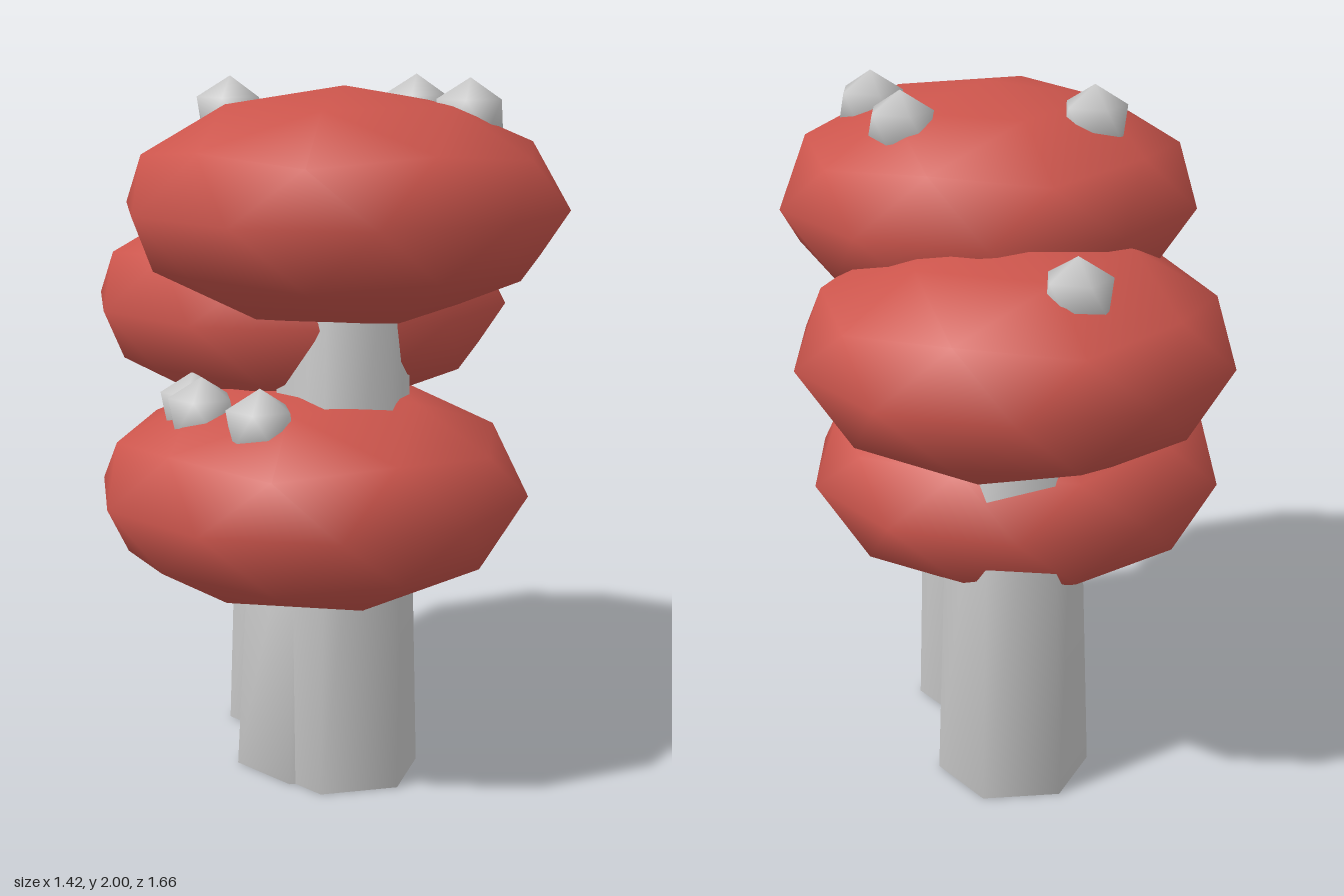
import * as THREE from 'three';
import { mergeVertices } from 'three/addons/utils/BufferGeometryUtils.js';

const grey = new THREE.MeshStandardMaterial({ color: 0xcccccc });
const red = new THREE.MeshStandardMaterial({ color: 0xcc554c });

// Weld all corners so that the shading runs smoothly over every edge
function smooth(geometry) {
  geometry.deleteAttribute('normal');
  geometry.deleteAttribute('uv');
  const welded = mergeVertices(geometry, 1e-4);
  welded.computeVertexNormals();
  return welded;
}

// Icosphere standing on a corner, with an upper-ring corner towards +x
function icosphere(rx, ry, detail) {
  const g = new THREE.IcosahedronGeometry(1, detail);
  g.rotateZ(-Math.atan(2 / (1 + Math.sqrt(5))));
  g.scale(rx, ry, rx);
  return smooth(g);
}

const capGeometry = icosphere(0.625, 0.33, 1);
const spotGeometry = icosphere(0.105, 0.105, 0);

// Cap centre, and the spots as x, z offsets from it
const mushrooms = [
  { name: 'tallMushroom', at: [-0.1, 1.65, 0.205], spots: [[-0.145, -0.31], [0.338, -0.05], [0.247, 0.24]] },
  { name: 'middleMushroom', at: [0.115, 1.327, -0.21], spots: [[0.05, -0.34]] },
  { name: 'shortMushroom', at: [-0.115, 0.83, 0.09], spots: [[-0.315, 0.13], [-0.283, -0.188], [-0.323, -0.106]] },
];

function add(parent, name, geometry, material, x, y, z) {
  const mesh = new THREE.Mesh(geometry, material);
  mesh.name = name;
  mesh.position.set(x, y, z);
  parent.add(mesh);
}

export function createModel() {
  const model = new THREE.Group();
  model.name = 'mushroomCluster';

  for (const { name, at: [x, y, z], spots } of mushrooms) {
    const mushroom = new THREE.Group();
    mushroom.name = name;
    mushroom.position.set(x, 0, z);

    // Six-sided tapered stem reaching into the middle of the cap
    const stem = smooth(new THREE.CylinderGeometry(0.18, 0.225, y, 6));
    add(mushroom, 'stem', stem, grey, 0, y / 2, 0);

    // Flattened cap with small spots half sunk into its top
    add(mushroom, 'cap', capGeometry, red, 0, y, 0);
    for (const [dx, dz] of spots) add(mushroom, 'spot', spotGeometry, grey, dx, y + 0.247, dz);

    model.add(mushroom);
  }
  return model;
}
